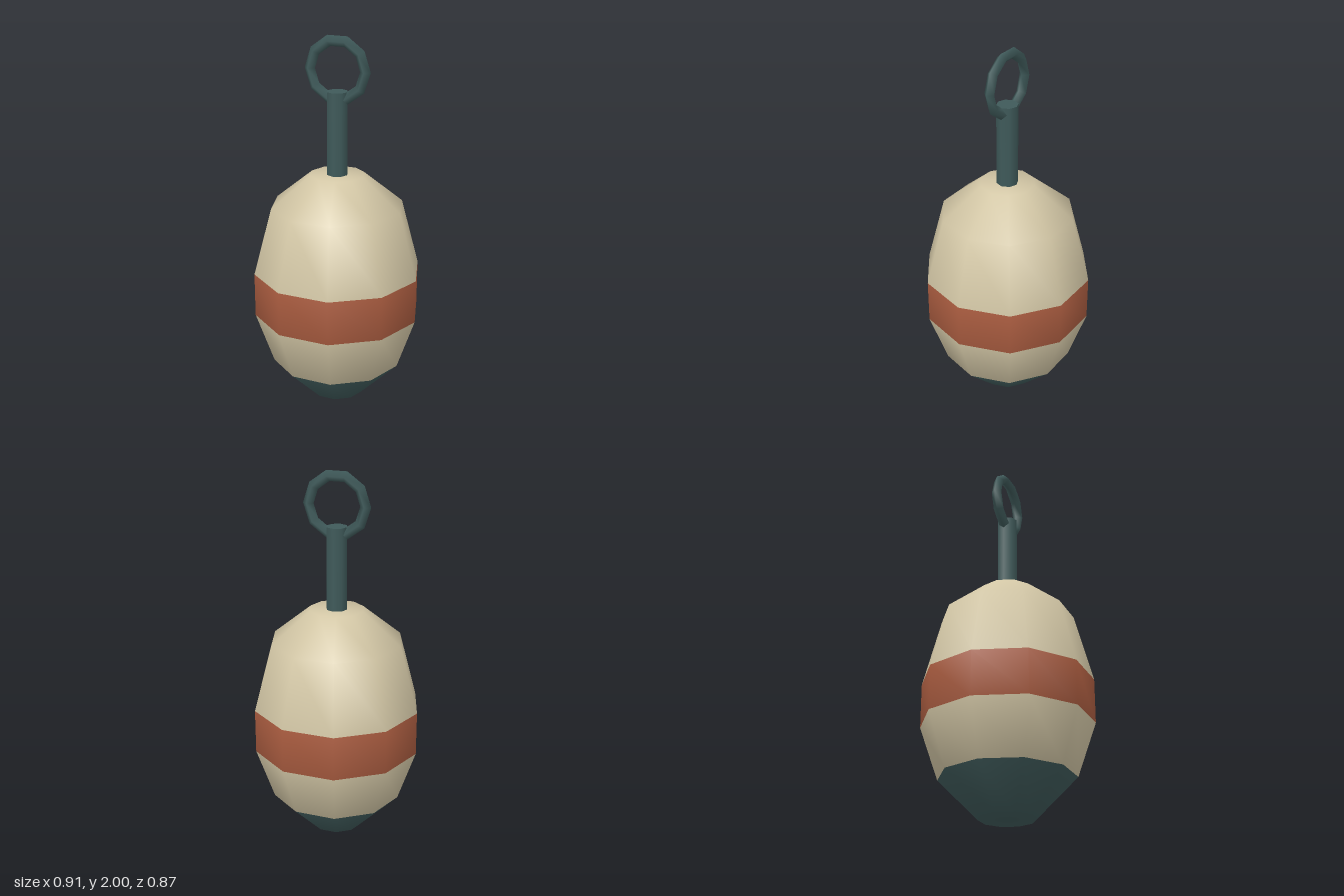
import * as THREE from 'three';

export function createModel() {
  const group = new THREE.Group();
  const material = (name, color) => {
    const m = new THREE.MeshStandardMaterial({ color });
    m.name = name;
    return m;
  };
  const cream = material('cream', 0xd2c6a5);
  const rust = material('rust', 0xa85b3f);
  const teal = material('darkTeal', 0x3f5a5a);

  const add = (name, geometry, mat, y) => {
    const mesh = new THREE.Mesh(geometry, mat);
    mesh.name = name;
    mesh.position.y = y;
    group.add(mesh);
  };

  // Ten-sided float body, smooth across its coloured bands
  const profile = [
    [0, 0], [0.147, 0], [0.357, 0.21], [0.455, 0.495],
    [0.455, 0.735], [0.357, 1.1], [0.147, 1.272], [0, 1.272],
  ].map(([r, y]) => new THREE.Vector2(r, y));
  const bandMaterial = [0, 0, 1, 2, 1, 1, 1]; // teal tip, cream, rust band, cream
  const sides = 10;
  const body = new THREE.LatheGeometry(profile, sides, Math.PI / 2);
  const bands = bandMaterial.length;
  for (let i = 0; i < sides; i++) {
    bandMaterial.forEach((m, j) => body.addGroup((i * bands + j) * 6, 6, m));
  }
  add('floatBody', body, [teal, cream, rust], 0);

  // Stem rising from the top of the body
  add('stem', new THREE.CylinderGeometry(0.057, 0.057, 0.465, 8), teal, 1.4825);

  // Upright line ring
  add('lineRing', new THREE.TorusGeometry(0.155, 0.029, 4, 10), teal, 1.825);

  return group;
}
